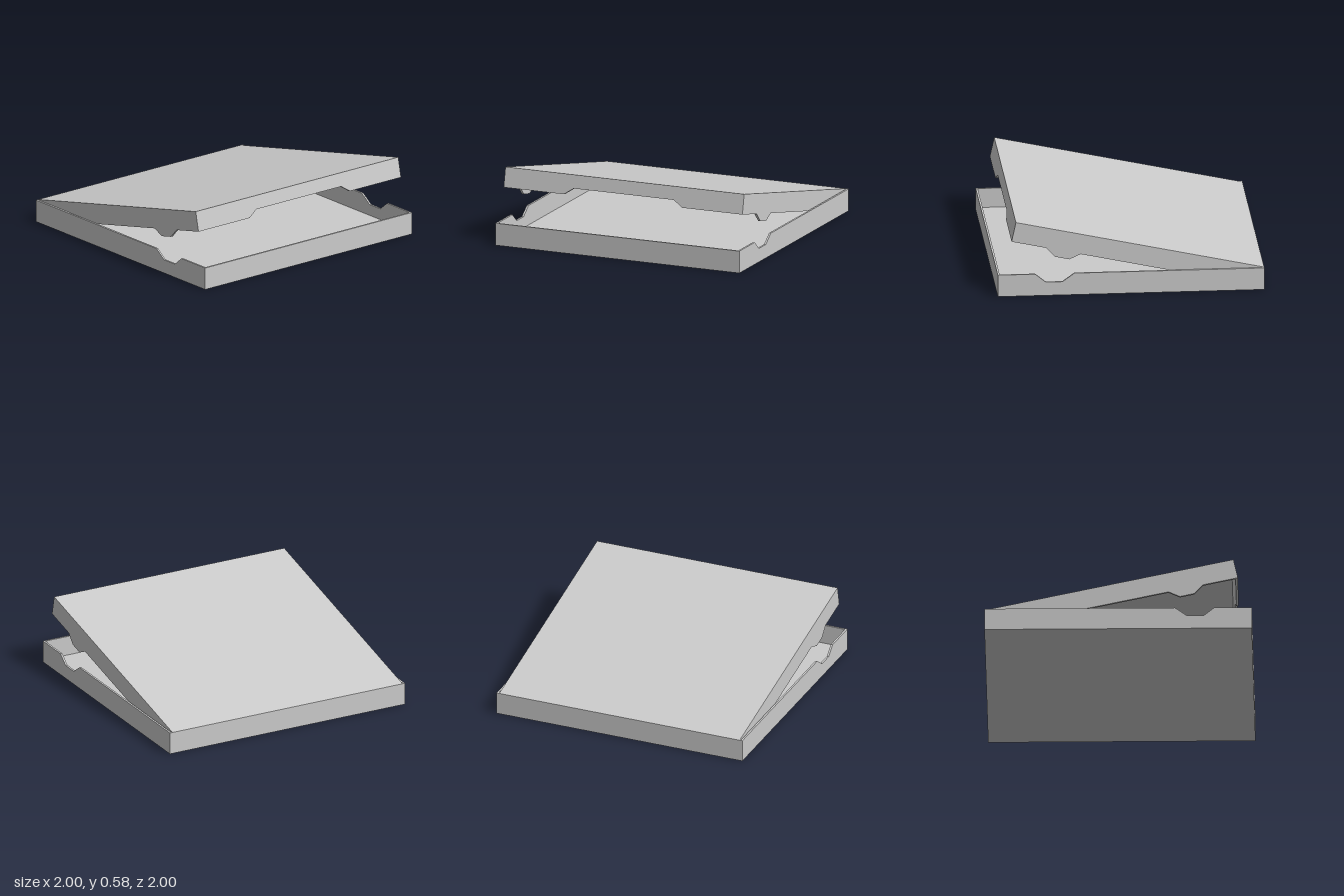
import * as THREE from 'three';

const material = new THREE.MeshStandardMaterial({ color: 0xcccccc, flatShading: true });

function addBox(parent, name, x0, x1, y0, y1, z0, z1) {
  const mesh = new THREE.Mesh(new THREE.BoxGeometry(x1 - x0, y1 - y0, z1 - z0), material);
  mesh.position.set((x0 + x1) / 2, (y0 + y1) / 2, (z0 + z1) / 2);
  mesh.name = name;
  parent.add(mesh);
}

// Flat panel cut from an outline in XY, with thickness along +z
function addPanel(parent, name, points, thickness) {
  const shape = new THREE.Shape(points.map(([x, y]) => new THREE.Vector2(x, y)));
  const geometry = new THREE.ExtrudeGeometry(shape, { depth: thickness, bevelEnabled: false });
  const mesh = new THREE.Mesh(geometry, material);
  mesh.name = name;
  parent.add(mesh);
  return mesh;
}

// Open tray with a finger notch in the front and back walls
function createBase() {
  const base = new THREE.Group();
  base.name = 'base';
  const h = 0.17, floor = 0.02, t = 0.015;
  addBox(base, 'baseFloor', -1, 1, 0, floor, -1, 1);
  addBox(base, 'baseLeftWall', 1 - t, 1, floor, h, -1 + t, 1 - t);
  addBox(base, 'baseRightWall', -1, -1 + t, floor, h, -1 + t, 1 - t);
  const outline = [
    [-1, floor], [1, floor], [1, h],
    [0.72, h], [0.64, 0.105], [0.515, 0.105], [0.425, h], [-1, h],
  ];
  addPanel(base, 'baseFrontWall', outline, t).position.z = 1 - t;
  addPanel(base, 'baseBackWall', outline, t).position.z = -1;
  return base;
}

// Hollow lid, built closed from its hinge edge and then swung open
function createLid() {
  const lid = new THREE.Group();
  lid.name = 'lid';
  const length = 1.906, w = 0.978, t = 0.018, bottom = -0.154, start = 0.02;
  addBox(lid, 'lidTop', 0, length, -t, 0, -w, w);
  addBox(lid, 'lidHingeWall', start, start + t, bottom, -t, -w + t, w - t);

  // Side walls with a tab that drops into the base notch
  const side = [
    [start, -t], [start, bottom], [1.375, bottom], [1.45, -0.21],
    [1.56, -0.21], [1.64, bottom], [length, bottom], [length, -t],
  ];
  addPanel(lid, 'lidFrontWall', side, t).position.z = w - t;
  addPanel(lid, 'lidBackWall', side, t).position.z = -w;

  // End wall with a wide shallow cut-out along its lower edge
  const e = w - t, cut = -0.103;
  const end = addPanel(lid, 'lidEndWall', [
    [-e, -t], [-e, bottom], [-0.485, bottom], [-0.41, cut],
    [0.41, cut], [0.485, bottom], [e, bottom], [e, -t],
  ], t);
  end.rotation.y = Math.PI / 2;
  end.position.x = length - t;

  lid.position.set(-1, 0.17, 0);
  lid.rotation.z = THREE.MathUtils.degToRad(12.28);
  return lid;
}

export function createModel() {
  const model = new THREE.Group();
  model.name = 'hingedBox';
  model.add(createBase(), createLid());
  return model;
}
